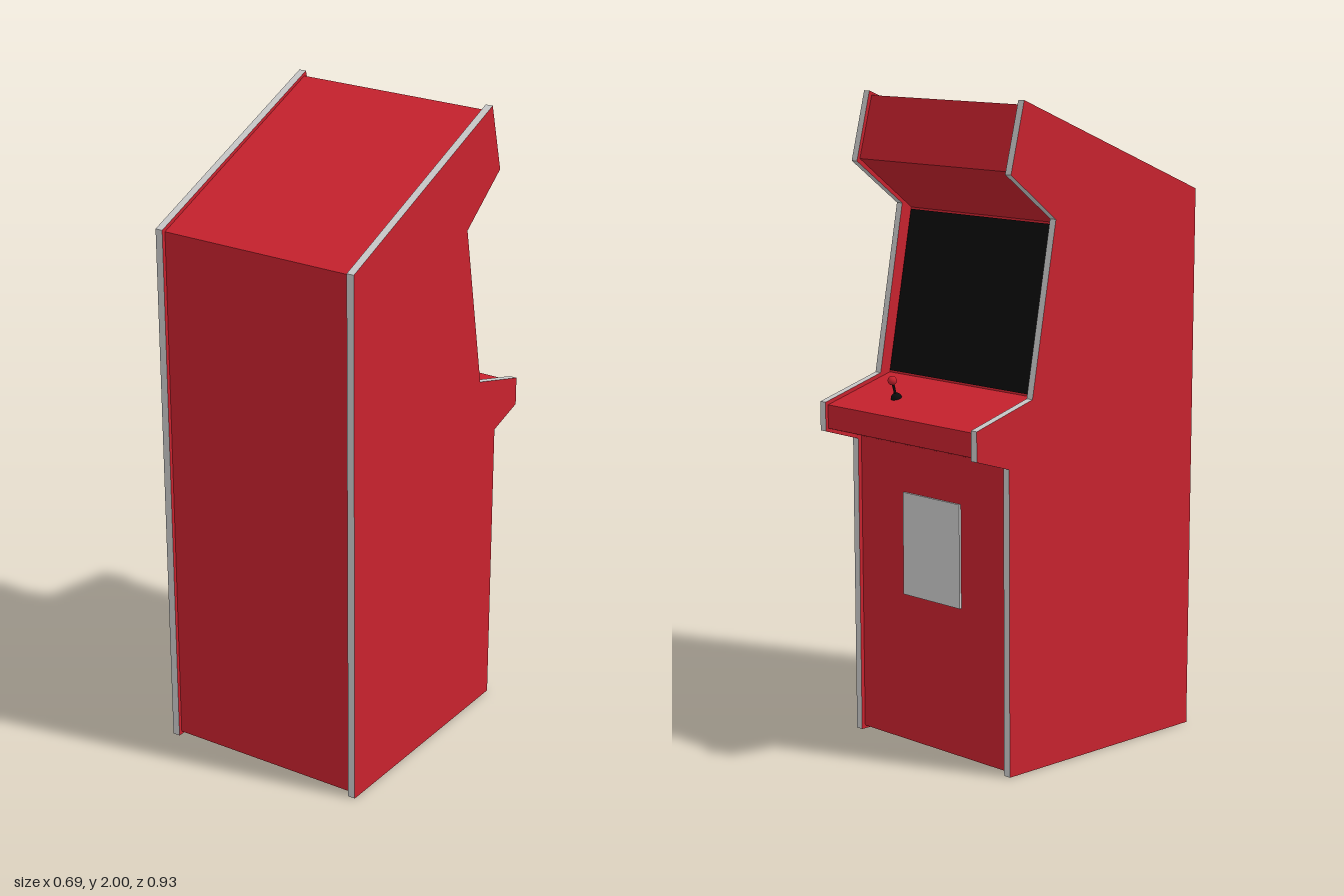
import * as THREE from 'three';

const red = new THREE.MeshStandardMaterial({ color: 0xc8222e });
const black = new THREE.MeshStandardMaterial({ color: 0x0c0c0c });
const grey = new THREE.MeshStandardMaterial({ color: 0xcccccc });

// Cabinet outlines as [z, y]; the playing side faces -z
const panelOutline = [
  [0.455, 0], [0.465, 1.7], [-0.275, 2], [-0.328, 1.79], [-0.145, 1.65],
  [-0.24, 1.13], [-0.465, 1.065], [-0.465, 0.975], [-0.335, 0.935], [-0.332, 0],
];
const screenTop = [-0.107, 1.635], screenBottom = [-0.202, 1.128];
const bodyOutline = [
  [0.443, 0.01], [0.452, 1.692], [-0.266, 1.986], [-0.316, 1.797], screenTop,
  screenBottom, [-0.455, 1.056], [-0.455, 0.983], [-0.322, 0.942], [-0.319, 0.01],
];

// Extrudes a [z, y] outline across x, centred on x = 0
function slab(outline, width) {
  const shape = new THREE.Shape(outline.map(([z, y]) => new THREE.Vector2(-z, y)));
  return new THREE.ExtrudeGeometry(shape, { depth: width, bevelEnabled: false })
    .translate(0, 0, -width / 2)
    .rotateY(Math.PI / 2);
}

export function createModel() {
  const model = new THREE.Group();
  const add = (name, geometry, material, parent = model) => {
    const mesh = new THREE.Mesh(geometry, material);
    mesh.name = name;
    parent.add(mesh);
    return mesh;
  };

  add('cabinetBody', slab(bodyOutline, 0.645), red);

  // Side panels: red faces with grey edge trim
  const panelGeometry = slab(panelOutline, 0.024);
  for (const [name, side] of [['leftSidePanel', 1], ['rightSidePanel', -1]]) {
    add(name, panelGeometry, [red, grey]).position.x = side * 0.333;
  }

  // Screen, leaning back in its recess
  const dz = screenTop[0] - screenBottom[0], dy = screenTop[1] - screenBottom[1];
  const screen = add('screen', new THREE.BoxGeometry(0.63, Math.hypot(dz, dy) - 0.012, 0.012), black);
  screen.position.set(0, (screenTop[1] + screenBottom[1]) / 2, (screenTop[0] + screenBottom[0]) / 2);
  screen.rotation.x = Math.atan2(dz, dy);

  // Coin door on the lower front
  add('coinDoor', new THREE.BoxGeometry(0.25, 0.32, 0.012), grey).position.set(0, 0.635, -0.322);

  // Joystick, square to the sloping control panel
  const joystick = new THREE.Group();
  joystick.name = 'joystick';
  joystick.position.set(0.132, 1.087, -0.345);
  joystick.rotation.x = -0.28;
  model.add(joystick);
  add('joystickBase', new THREE.SphereGeometry(0.017, 20, 10, 0, Math.PI * 2, 0, Math.PI / 2), black, joystick);
  add('joystickStem', new THREE.CylinderGeometry(0.004, 0.004, 0.055, 12), black, joystick).position.y = 0.028;
  add('joystickBall', new THREE.SphereGeometry(0.014, 20, 14), red, joystick).position.y = 0.058;

  return model;
}
